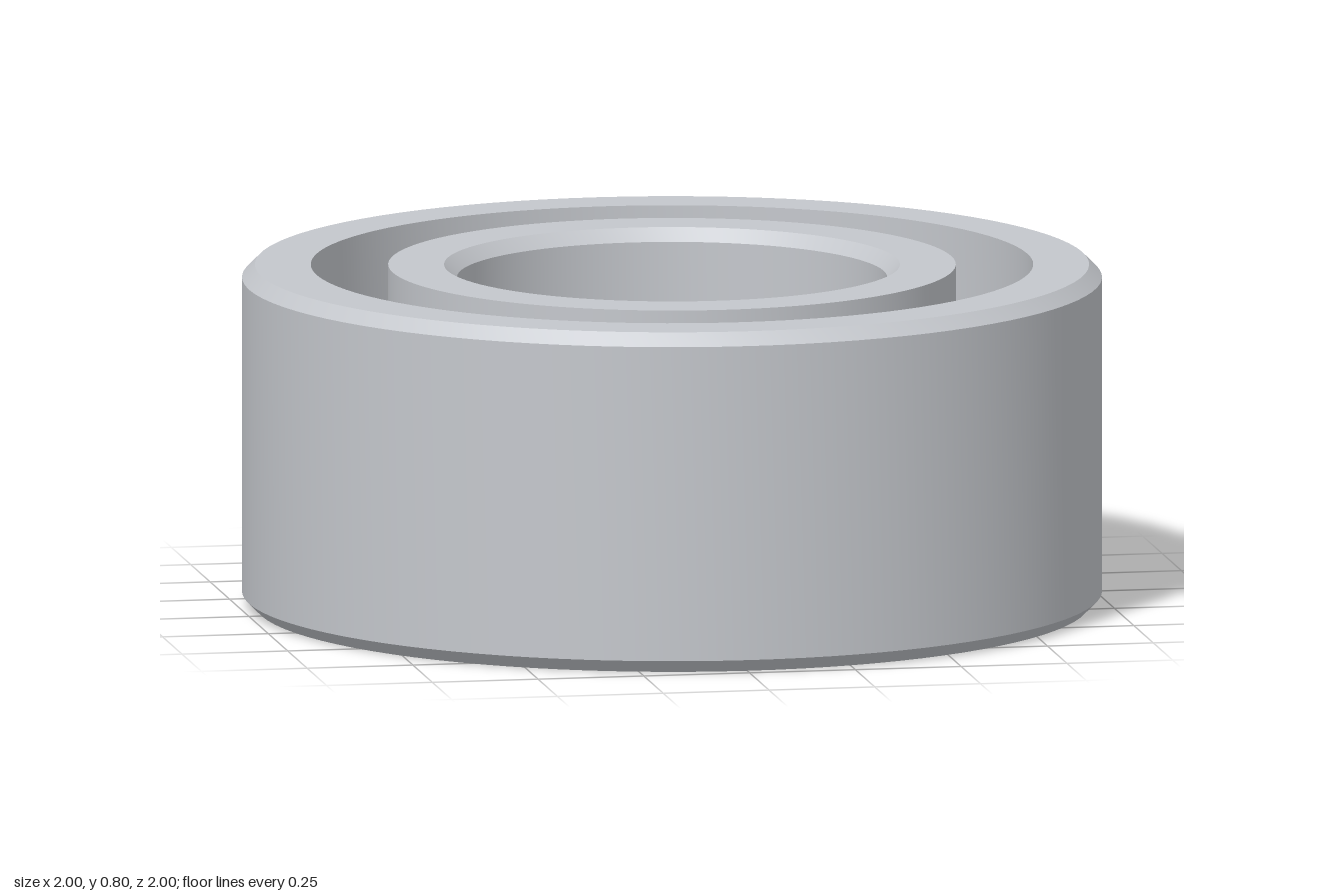
import * as THREE from 'three';
import { toCreasedNormals } from 'three/addons/utils/BufferGeometryUtils.js';

const HEIGHT = 0.8, MID = HEIGHT / 2, CHAMFER = 0.03;
const PITCH = 0.75, BALL = 0.139, GROOVE = 0.14, HALF_GAP = 0.09, BALLS = 12;

// Arc of the ball groove; side +1 cuts into the outer ring, -1 into the inner ring
function grooveArc(side) {
  const half = Math.acos(HALF_GAP / GROOVE), steps = 14, points = [];
  for (let i = 0; i <= steps; i++) {
    const a = half - (2 * half * i) / steps;
    points.push([PITCH + side * GROOVE * Math.cos(a), MID + side * GROOVE * Math.sin(a)]);
  }
  return points;
}

// Closed counter-clockwise profile turned around the y axis
function ring(name, profile, material) {
  const points = [...profile, profile[0]].map(([r, y]) => new THREE.Vector2(r, y));
  const geometry = toCreasedNormals(new THREE.LatheGeometry(points, 96), Math.PI / 6);
  const mesh = new THREE.Mesh(geometry, material);
  mesh.name = name;
  return mesh;
}

export function createModel() {
  const model = new THREE.Group();
  model.name = 'ballBearing';
  const steel = new THREE.MeshStandardMaterial({ color: 0xc4c7cc });
  steel.name = 'steel';

  // Outer ring: chamfered outside, raceway inside
  const outerWall = PITCH + HALF_GAP;
  model.add(ring('outerRing', [
    [outerWall, 0], [1 - CHAMFER, 0], [1, CHAMFER],
    [1, HEIGHT - CHAMFER], [1 - CHAMFER, HEIGHT], [outerWall, HEIGHT],
    ...grooveArc(1),
  ], steel));

  // Inner ring: raceway outside, chamfered bore
  const innerWall = PITCH - HALF_GAP, bore = 0.5;
  model.add(ring('innerRing', [
    [bore + CHAMFER, 0], [innerWall, 0],
    ...grooveArc(-1),
    [innerWall, HEIGHT], [bore + CHAMFER, HEIGHT],
    [bore, HEIGHT - CHAMFER], [bore, CHAMFER],
  ], steel));

  // Balls
  const balls = new THREE.Group();
  balls.name = 'balls';
  const ballGeometry = new THREE.SphereGeometry(BALL, 32, 20);
  for (let i = 0; i < BALLS; i++) {
    const a = (i / BALLS) * Math.PI * 2;
    const ball = new THREE.Mesh(ballGeometry, steel);
    ball.name = 'ball' + (i + 1);
    ball.position.set(PITCH * Math.cos(a), MID, PITCH * Math.sin(a));
    balls.add(ball);
  }
  model.add(balls);
  return model;
}
